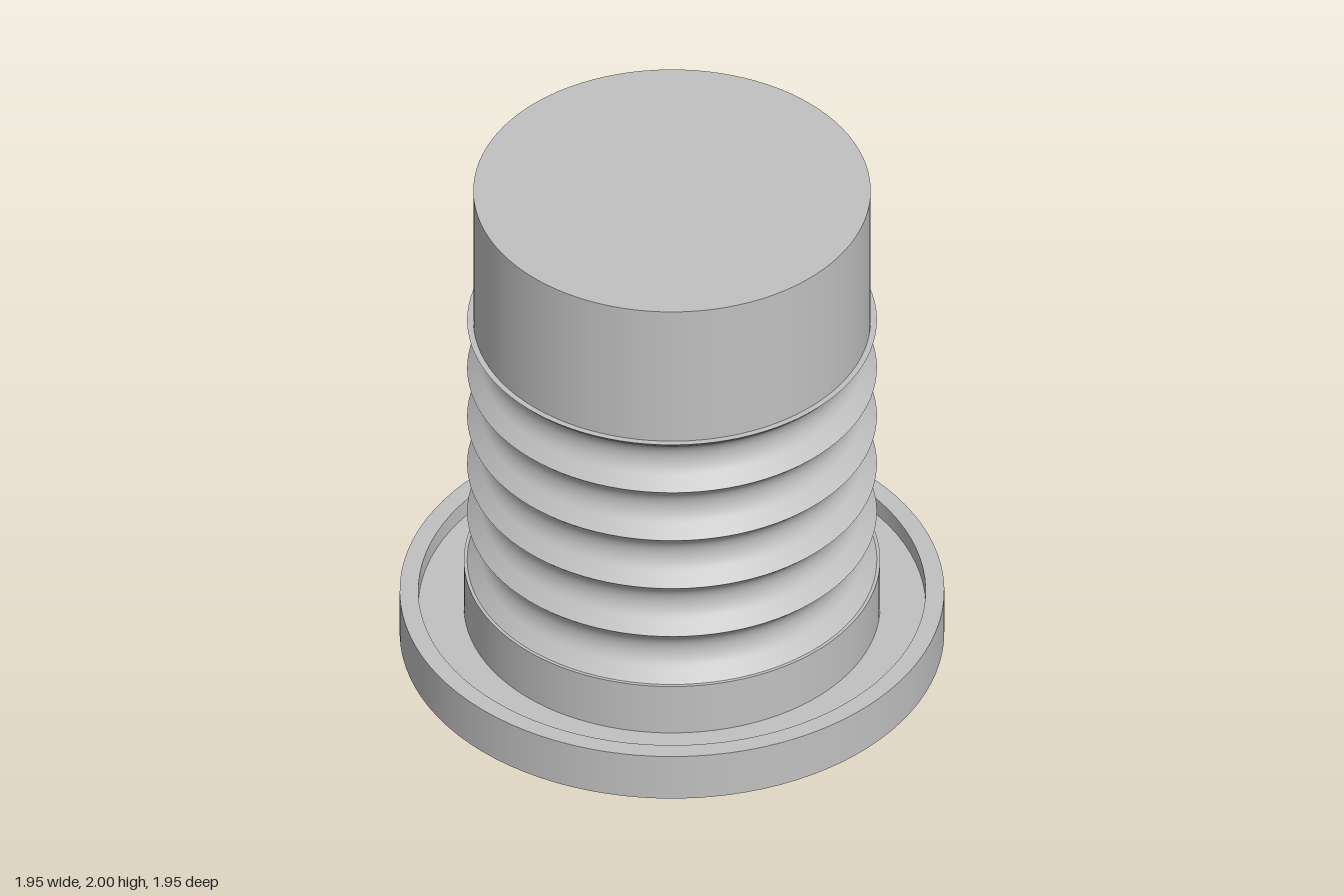
import * as THREE from 'three';
import { mergeGeometries } from 'three/addons/utils/BufferGeometryUtils.js';

const SIDES = 96;

// Revolve [radius, y] points, listed up the outside; each array is a smooth run, with sharp edges between runs
function revolve(runs) {
  return mergeGeometries(runs.map(run =>
    new THREE.LatheGeometry(run.map(([r, y]) => new THREE.Vector2(r, y)), SIDES)));
}

// Split a polyline into separate straight runs so that every corner stays sharp
const sharp = pts => pts.slice(1).map((p, i) => [pts[i], p]);

export function createModel() {
  const group = new THREE.Group();
  const grey = new THREE.MeshStandardMaterial({ color: 0xc0c0c0 });
  grey.name = 'plain grey';

  const add = (name, runs) => {
    const mesh = new THREE.Mesh(revolve(runs), grey);
    mesh.name = name;
    group.add(mesh);
  };

  // Shallow dish with a raised rim
  add('baseDish', sharp([[0, 0], [0.977, 0], [0.977, 0.19], [0.91, 0.19], [0.91, 0.12], [0, 0.12]]));

  // Collar below the bellows
  add('collar', sharp([[0.747, 0.12], [0.747, 0.33], [0.6, 0.33]]));

  // Bellows: 45 degree flanks joined by a rounded valley, with sharp ridges between folds
  const folds = 5, bottom = 0.33, pitch = 0.217, ridge = 0.735, valley = 0.664, arc = 0.0906;
  const runs = [];
  for (let i = 0; i < folds; i++) {
    const y0 = bottom + i * pitch;
    const run = [[ridge, y0]];
    for (let k = 0; k <= 12; k++) {
      const a = (k / 12 - 0.5) * Math.PI / 2;
      run.push([valley + arc * (1 - Math.cos(a)), y0 + pitch / 2 + arc * Math.sin(a)]);
    }
    run.push([ridge, y0 + pitch]);
    runs.push(run);
  }
  const top = bottom + folds * pitch;
  runs.push([[ridge, top], [0.7, top]]);
  add('bellows', runs);

  // Solid cylindrical cap
  add('cap', sharp([[0, 1.39], [0.713, 1.39], [0.713, 2], [0, 2]]));

  return group;
}
